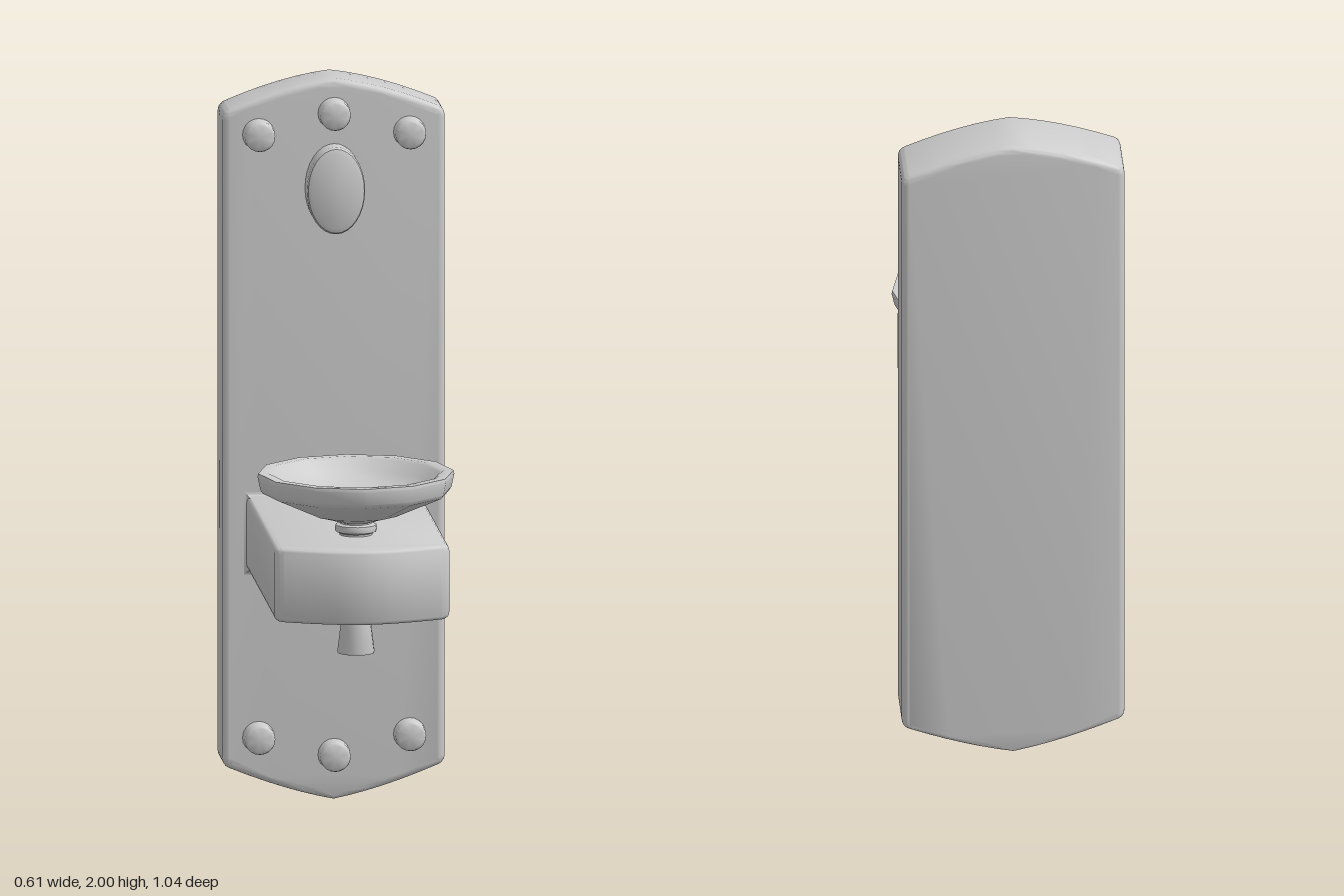
import * as THREE from 'three';
import { toCreasedNormals } from 'three/addons/utils/BufferGeometryUtils.js';

const grey = new THREE.MeshStandardMaterial({ color: 0xcccccc });

// Extrudes a shape to a total depth with rounded rims inside the outline
function roundedSlab(shape, depth, bevel, curveSegments = 8) {
  const geo = new THREE.ExtrudeGeometry(shape, {
    depth: depth - 2 * bevel, bevelThickness: bevel, bevelSize: bevel,
    bevelOffset: -bevel, bevelSegments: 4, curveSegments,
  });
  geo.translate(0, 0, bevel);
  return toCreasedNormals(geo, 0.65);
}

function lathe(points, segments, crease) {
  const geo = new THREE.LatheGeometry(points.map(([r, y]) => new THREE.Vector2(r, y)), segments);
  return toCreasedNormals(geo, crease);
}

export function createModel() {
  const model = new THREE.Group();
  const add = (name, geo, x = 0, y = 0, z = 0) => {
    const mesh = new THREE.Mesh(geo, grey);
    mesh.name = name;
    mesh.position.set(x, y, z);
    model.add(mesh);
    return mesh;
  };

  // Wall plate with gently peaked ends and softened shoulders
  const plate = new THREE.Shape();
  plate.moveTo(0.305, 0.12);
  plate.lineTo(0.305, 1.89);
  plate.quadraticCurveTo(0.305, 1.912, 0.285, 1.92);
  plate.quadraticCurveTo(0.13, 1.985, 0, 2);
  plate.quadraticCurveTo(-0.13, 1.985, -0.285, 1.92);
  plate.quadraticCurveTo(-0.305, 1.912, -0.305, 1.89);
  plate.lineTo(-0.305, 0.12);
  plate.quadraticCurveTo(-0.305, 0.098, -0.285, 0.09);
  plate.quadraticCurveTo(-0.13, 0.025, 0, 0);
  plate.quadraticCurveTo(0.13, 0.025, 0.285, 0.09);
  plate.quadraticCurveTo(0.305, 0.098, 0.305, 0.12);
  add('wallPlate', roundedSlab(plate, 0.164, 0.018, 6), 0, 0, -0.52);

  // Shelf arm with a bowed front, drawn in plan (shape y = -z)
  const arm = new THREE.Shape();
  arm.moveTo(-0.24, 0.4);
  arm.lineTo(-0.24, -0.41);
  arm.quadraticCurveTo(-0.24, -0.435, -0.215, -0.447);
  arm.bezierCurveTo(-0.12, -0.49, -0.06, -0.507, 0, -0.507);
  arm.bezierCurveTo(0.06, -0.507, 0.12, -0.49, 0.215, -0.447);
  arm.quadraticCurveTo(0.24, -0.435, 0.24, -0.41);
  arm.lineTo(0.24, 0.4);
  arm.closePath();
  add('shelfArm', roundedSlab(arm, 0.208, 0.018).rotateX(-Math.PI / 2), 0, 0.64, 0);

  // Concave fillet where the arm meets the plate
  const fillet = new THREE.BoxGeometry(0.46, 0.195, 0.025, 1, 1, 5);
  const p = fillet.attributes.position;
  for (let i = 0; i < p.count; i++) {
    const t = (0.0125 - p.getZ(i)) / 0.025;
    const flare = 0.003 + 0.018 * (1 - Math.sqrt(Math.max(0, 1 - t * t)));
    p.setX(i, p.getX(i) + Math.sign(p.getX(i)) * flare);
    p.setY(i, p.getY(i) + Math.sign(p.getY(i)) * flare);
  }
  add('armFillet', toCreasedNormals(fillet, 0.65), 0, 0.744, -0.3455);

  // Rivets in an arc at each end of the plate
  const rivet = lathe([[0.045, -0.01], [0.042, 0.04], [0.039, 0.048], [0.032, 0.052], [0, 0.053]], 20, 0.7)
    .rotateX(Math.PI / 2);
  for (const [x, y] of [[-0.207, 1.85], [0, 1.905], [0.207, 1.85], [-0.207, 0.177], [0, 0.126], [0.207, 0.18]]) {
    add('rivet', rivet, x, y, -0.358);
  }

  // Oval boss
  const boss = lathe([[1, -0.01], [1, 0.055], [0.96, 0.065], [0.85, 0.07], [0, 0.073]], 32, 0.7)
    .rotateX(Math.PI / 2).scale(0.08, 0.121, 1);
  boss.computeVertexNormals();
  add('ovalBoss', toCreasedNormals(boss, 0.7), 0, 1.7, -0.358);

  // Twelve-sided drip dish on a short collar
  add('dish', lathe([
    [0, 0.885], [0.05, 0.885], [0.075, 0.893], [0.12, 0.905], [0.255, 0.965],
    [0.262, 0.975], [0.27, 1.012], [0.268, 1.021], [0.24, 1.021], [0.23, 1.015],
    [0.21, 0.985], [0.17, 0.958], [0.11, 0.936], [0.05, 0.926], [0, 0.924],
  ], 12, 0.6), 0, 0, 0.25);
  add('collar', lathe([
    [0.045, 0.84], [0.045, 0.853], [0.056, 0.858], [0.058, 0.867], [0.056, 0.876], [0.044, 0.88], [0.044, 0.892],
  ], 16, 0.9), 0, 0, 0.25);

  // Flared pin below the arm
  add('pin', lathe([[0, 0.52], [0.05, 0.52], [0.051, 0.525], [0.04, 0.615], [0.039, 0.65]], 16, 0.7), 0, 0, 0.25);

  return model;
}
